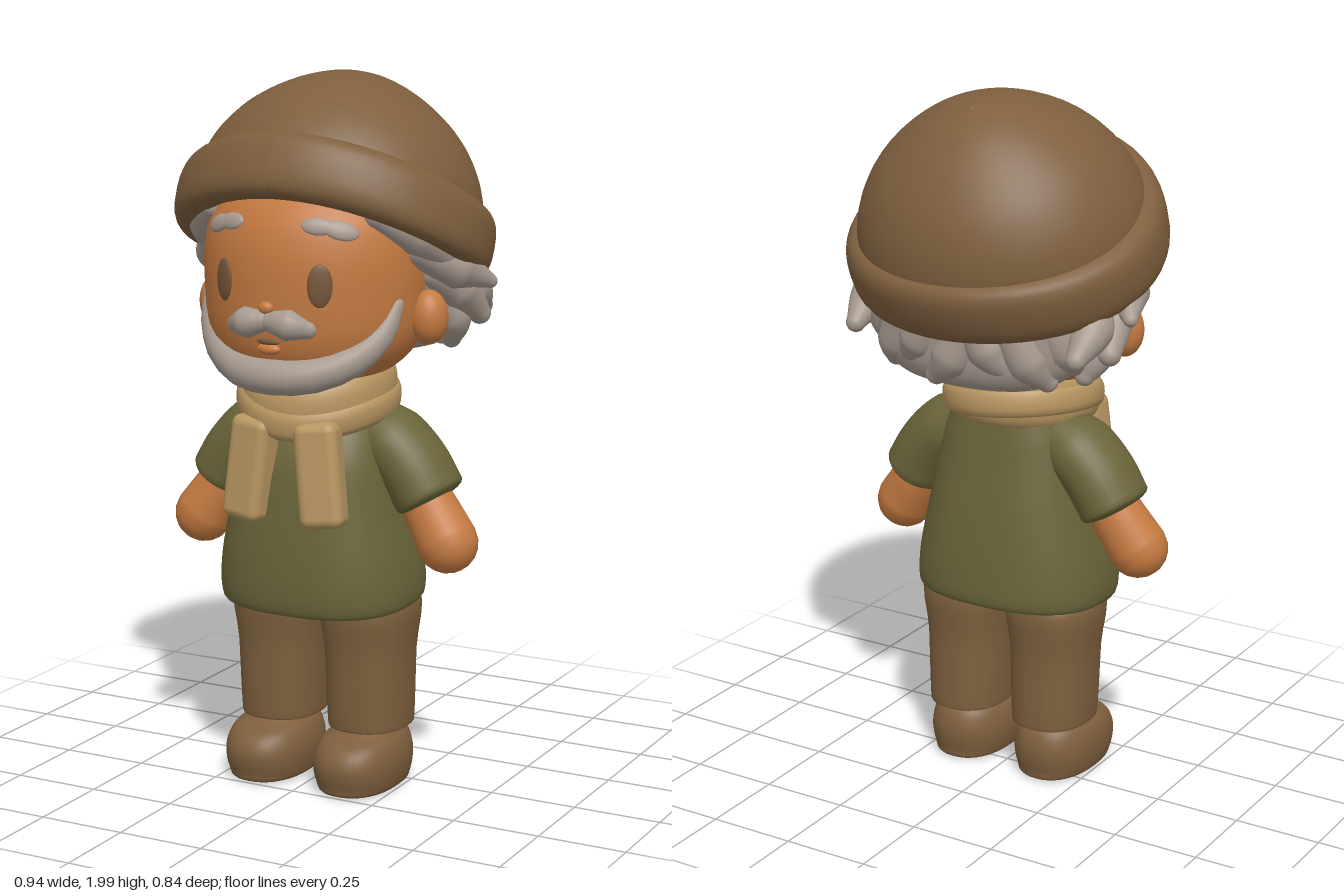
import * as THREE from 'three';
import { RoundedBoxGeometry } from 'three/addons/geometries/RoundedBoxGeometry.js';

const mat = (name, color) => {
  const m = new THREE.MeshStandardMaterial({ color });
  m.name = name;
  return m;
};

// Skins a stack of closed rings, smooth and seamless.
function skin(rings) {
  const n = rings[0].length, pos = [], idx = [];
  rings.forEach(r => r.forEach(p => pos.push(p.x, p.y, p.z)));
  for (let i = 0; i < rings.length - 1; i++) {
    for (let j = 0; j < n; j++) {
      const k = (j + 1) % n, a = i * n, b = a + n;
      idx.push(a + j, b + j, a + k, b + j, b + k, a + k);
    }
  }
  const g = new THREE.BufferGeometry();
  g.setAttribute('position', new THREE.Float32BufferAttribute(pos, 3));
  g.setIndex(idx);
  g.computeVertexNormals();
  return g;
}

// Lofts sections [y, rx, rz, cz] upward; power > 2 makes them boxier.
function loft(sections, power = 2, seg = 40, sub = 4) {
  const spline = f => new THREE.CatmullRomCurve3(sections.map(f), false, 'catmullrom', 0.5);
  const a = spline(s => new THREE.Vector3(s[0], s[1], s[2]));
  const b = spline(s => new THREE.Vector3(s[3], 0, 0));
  const steps = (sections.length - 1) * sub, rings = [];
  const pw = v => Math.sign(v) * Math.abs(v) ** (2 / power);
  for (let i = 0; i <= steps; i++) {
    const p = a.getPoint(i / steps), cz = b.getPoint(i / steps).x;
    const rx = Math.max(p.y, 0.001), rz = Math.max(p.z, 0.001);
    rings.push(Array.from({ length: seg }, (_, j) => {
      const t = j / seg * Math.PI * 2;
      return new THREE.Vector3(rx * pw(Math.cos(t)), p.x, cz + rz * pw(Math.sin(t)));
    }));
  }
  return skin(rings);
}

// Tapered tube with rounded ends; cap sets how far the end bulges.
function limb(points, radii, cap = 1, seg = 20) {
  const curve = new THREE.CatmullRomCurve3(points.map(p => new THREE.Vector3(...p)));
  const steps = 16, f = curve.computeFrenetFrames(steps), rings = [];
  const ring = (i, shift, k) => {
    const t = i / steps, u = t * (radii.length - 1), lo = Math.min(Math.floor(u), radii.length - 2);
    const r = THREE.MathUtils.lerp(radii[lo], radii[lo + 1], u - lo);
    const c = curve.getPoint(t).addScaledVector(f.tangents[i], shift * r * cap);
    rings.push(Array.from({ length: seg }, (_, j) => {
      const a = j / seg * Math.PI * 2;
      return c.clone().addScaledVector(f.normals[i], Math.cos(a) * r * k)
        .addScaledVector(f.binormals[i], -Math.sin(a) * r * k);
    }));
  };
  const caps = [0, 0.3, 0.6, 0.9, 1.2].map(a => [Math.cos(a), Math.sin(a)]);
  caps[0] = [1, 0.001];
  caps.forEach(([c, s]) => ring(0, -c, s));
  for (let i = 0; i <= steps; i++) ring(i, 0, 1);
  caps.reverse().forEach(([c, s]) => ring(steps, c, s));
  return skin(rings);
}

// Ring with a soft, rounded-rectangle section.
function softRing(R, w, h) {
  const pts = [];
  for (let i = 0; i <= 24; i++) {
    const t = i / 24 * Math.PI * 2 - Math.PI, c = Math.cos(t), s = Math.sin(t);
    pts.push(new THREE.Vector2(R + w * Math.sign(c) * Math.abs(c) ** 0.75, h * Math.sign(s) * Math.abs(s) ** 0.75));
  }
  return new THREE.LatheGeometry(pts, 56);
}

// Lowers vertices by a rule.
function sag(g, rule) {
  const p = g.attributes.position;
  for (let i = 0; i < p.count; i++) p.setY(i, p.getY(i) - rule(p.getX(i), p.getZ(i), p.getY(i)));
  g.computeVertexNormals();
  return g;
}

export function createModel() {
  const brown = mat('brown cloth', 0x7e5f3e), skinTone = mat('skin', 0xc47a41);
  const green = mat('olive shirt', 0x6a643a), tan = mat('tan scarf', 0xb89661);
  const grey = mat('grey hair', 0xa79a8f), dark = mat('brown eye', 0x75563a);
  const model = new THREE.Group();
  const add = (name, geo, m, parent = model) => {
    const mesh = new THREE.Mesh(geo, m);
    mesh.name = name;
    parent.add(mesh);
    return mesh;
  };
  const ball = (name, m, x, y, z, sx, sy, sz) => {
    const b = add(name, new THREE.SphereGeometry(1, 28, 20), m);
    b.position.set(x, y, z);
    b.scale.set(sx, sy, sz);
    return b;
  };

  // Head and neck
  const head = add('head', loft([
    [1.14, 0, 0, 0.09], [1.16, 0.14, 0.15, 0.1], [1.22, 0.25, 0.23, 0.11], [1.3, 0.3, 0.27, 0.105],
    [1.42, 0.315, 0.285, 0.1], [1.54, 0.315, 0.285, 0.095], [1.64, 0.29, 0.265, 0.08],
    [1.73, 0.2, 0.2, 0.05], [1.76, 0, 0, 0.05]]), skinTone);
  add('neck', new THREE.CylinderGeometry(0.15, 0.15, 0.22, 28), skinTone).position.set(0, 1.12, 0.05);

  // Places a flat feature on the face surface
  const onFace = (name, m, x, y, w, h, d, roll = 0) => {
    const hit = new THREE.Raycaster(new THREE.Vector3(x, y, 2), new THREE.Vector3(0, 0, -1)).intersectObject(head)[0];
    const b = ball(name, m, x, y, hit.point.z, w, h, d);
    b.lookAt(hit.point.clone().add(hit.face.normal));
    b.rotateZ(roll);
  };
  head.updateMatrixWorld();
  onFace('mouth', dark, 0, 1.296, 0.035, 0.009, 0.009);
  onFace('lowerLip', skinTone, 0, 1.276, 0.036, 0.016, 0.018);
  onFace('nose', skinTone, 0, 1.388, 0.022, 0.018, 0.016);

  for (const s of [-1, 1]) {
    onFace('eye', dark, s * 0.145, 1.452, 0.034, 0.058, 0.009);
    onFace('eyebrow', grey, s * 0.13, 1.607, 0.045, 0.024, 0.012, -s * 0.08);
    onFace('eyebrowEnd', grey, s * 0.185, 1.596, 0.05, 0.026, 0.012, -s * 0.25);
    ball('ear', skinTone, s * 0.33, 1.345, 0.075, 0.052, 0.075, 0.055);
    add('moustache', limb([[s * 0.015, 1.352, 0.378], [s * 0.062, 1.345, 0.376], [s * 0.108, 1.334, 0.352]],
      [0.03, 0.043, 0.026]), grey);

    // Side hair locks, swept back
    const locks = [
      [[[0.25, 1.63, 0.23], [0.32, 1.575, 0.14], [0.36, 1.5, 0.02]], [0.035, 0.055, 0.05]],
      [[[0.31, 1.53, 0.12], [0.375, 1.475, 0.0], [0.435, 1.43, -0.09]], [0.04, 0.062, 0.02]],
      [[[0.32, 1.46, 0.03], [0.36, 1.41, -0.05], [0.39, 1.335, -0.12]], [0.045, 0.06, 0.032]],
      [[[0.31, 1.46, -0.06], [0.35, 1.4, -0.15], [0.35, 1.34, -0.23]], [0.05, 0.06, 0.028]],
      [[[0.3, 1.4, -0.04], [0.33, 1.32, -0.08], [0.31, 1.26, -0.11]], [0.05, 0.052, 0.028]]];
    locks.forEach(([p, r]) => add('sideLock', limb(p.map(([x, y, z]) => [s * x, y, z]), r), grey));
  }

  // Beard along the jaw
  const half = [[0.285, 1.39, 0.185], [0.262, 1.315, 0.215], [0.205, 1.25, 0.265], [0.11, 1.206, 0.325]];
  add('beard', limb([...half.map(([x, y, z]) => [-x, y, z]), [0, 1.197, 0.35], ...half.reverse()],
    [0.022, 0.036, 0.046, 0.048, 0.05, 0.048, 0.046, 0.036, 0.022]), grey);

  // Back hair with rounded curls along its edge
  add('backHair', loft([[1.21, 0, 0, -0.15], [1.22, 0.2, 0.11, -0.15], [1.27, 0.29, 0.18, -0.125], [1.36, 0.34, 0.225, -0.09],
    [1.46, 0.355, 0.26, -0.06], [1.6, 0.335, 0.27, -0.05], [1.7, 0.2, 0.18, -0.05], [1.72, 0, 0, -0.05]], 2.15), grey);
  for (let i = -3; i <= 3; i++) {
    const a = i * 0.37, sx = Math.sin(a), cz = Math.cos(a), low = i % 2 ? 0.03 : 0;
    const turn = i < 0 ? -1 : 1;
    const at = (r, y, t) => [sx * r * 1.08 + turn * t * cz, y + low, -0.06 - cz * r * 0.8 + t * sx * turn];
    add('backCurl', limb([at(0.27, 1.4, -0.04), at(0.285, 1.31, 0), at(0.28, 1.255, 0.05)], [0.06, 0.06, 0.03]), grey);
  }

  // Knitted hat, tilted back
  const hat = new THREE.Group();
  hat.name = 'hat';
  hat.position.set(0, 1.61, -0.018);
  hat.rotation.x = -0.42;
  model.add(hat);
  const dome = new THREE.SplineCurve([[0.365, -0.06], [0.375, 0.03], [0.363, 0.1], [0.33, 0.175], [0.275, 0.25],
    [0.19, 0.322], [0.095, 0.372], [0.001, 0.392]].map(p => new THREE.Vector2(...p))).getPoints(28);
  add('hatCrown', new THREE.LatheGeometry(dome, 56).scale(1.08, 1, 1.03), brown, hat);
  add('hatBrim', sag(softRing(0.368, 0.052, 0.09).scale(1.083, 1, 1), x => 0.045 * (x / 0.45) ** 2), brown, hat);

  // Shirt, its hem dipping at the front
  add('shirt', sag(loft([
    [0.57, 0, 0, 0.06], [0.56, 0.22, 0.17, 0.06], [0.528, 0.262, 0.212, 0.06], [0.55, 0.284, 0.234, 0.062],
    [0.65, 0.28, 0.235, 0.065], [0.8, 0.25, 0.222, 0.068], [0.95, 0.222, 0.198, 0.07],
    [1.05, 0.19, 0.16, 0.05], [1.12, 0.14, 0.12, 0.035], [1.16, 0, 0, 0.03]], 2.5),
    (x, z, y) => y < 0.62 ? 0.06 * (z - 0.06) * (0.62 - y) / 0.09 : 0), green);

  for (const s of [-1, 1]) {
    // Sleeves with rolled cuffs, and arms
    const sleeve = add('sleeve', limb([[s * 0.12, 1.04, 0], [s * 0.21, 0.985, 0], [s * 0.275, 0.92, 0], [s * 0.322, 0.845, 0]],
      [0.075, 0.098, 0.098, 0.097], 0.25, 28), green);
    sleeve.scale.z = 1.18;
    sleeve.position.z = 0.045;
    add('arm', limb([[s * 0.29, 0.87, 0.05], [s * 0.335, 0.8, 0.055], [s * 0.387, 0.722, 0.065]],
      [0.07, 0.078, 0.085], 1, 28), skinTone);

    // Trousers and shoes
    add('trouserLeg', loft([
      [0.19, 0, 0, 0.035], [0.18, 0.085, 0.1, 0.035], [0.168, 0.108, 0.128, 0.035], [0.19, 0.114, 0.135, 0.036],
      [0.38, 0.121, 0.138, 0.04], [0.55, 0.129, 0.142, 0.042], [0.6, 0, 0, 0.042]], 2.3), brown).position.x = s * 0.139;
    add('shoe', loft([
      [0.002, 0, 0, 0.085], [0, 0.092, 0.148, 0.085], [0.025, 0.115, 0.168, 0.087], [0.085, 0.122, 0.178, 0.088],
      [0.135, 0.11, 0.158, 0.08], [0.163, 0.088, 0.115, 0.058], [0.2, 0.07, 0.08, 0.04]], 2.3), brown).position.x = s * 0.141;

    // Hanging scarf ends
    const tail = add('scarfTail', new RoundedBoxGeometry(0.125, 0.29, 0.09, 4, 0.028), tan);
    tail.position.set(s * 0.108, 0.925, 0.28);
    tail.rotation.set(-0.06, s * 0.15, s * 0.11);
  }

  // Scarf wrapped round the neck, drooping at the front
  const wrap = (name, R, w, h, y, tilt, roll) => {
    const droop = (x, z) => z > 0 ? 0.045 * (z / 0.24) ** 2 : 0;
    const m = add(name, sag(softRing(R, w, h).scale(1, 1, 1.04), droop), tan);
    m.position.set(0, y, 0.088);
    m.rotation.set(tilt, 0, roll);
  };
  wrap('scarfWrap', 0.165, 0.052, 0.082, 1.13, 0.08, 0);
  wrap('scarfFold', 0.173, 0.054, 0.05, 1.115, 0.1, -0.1);
  return model;
}
